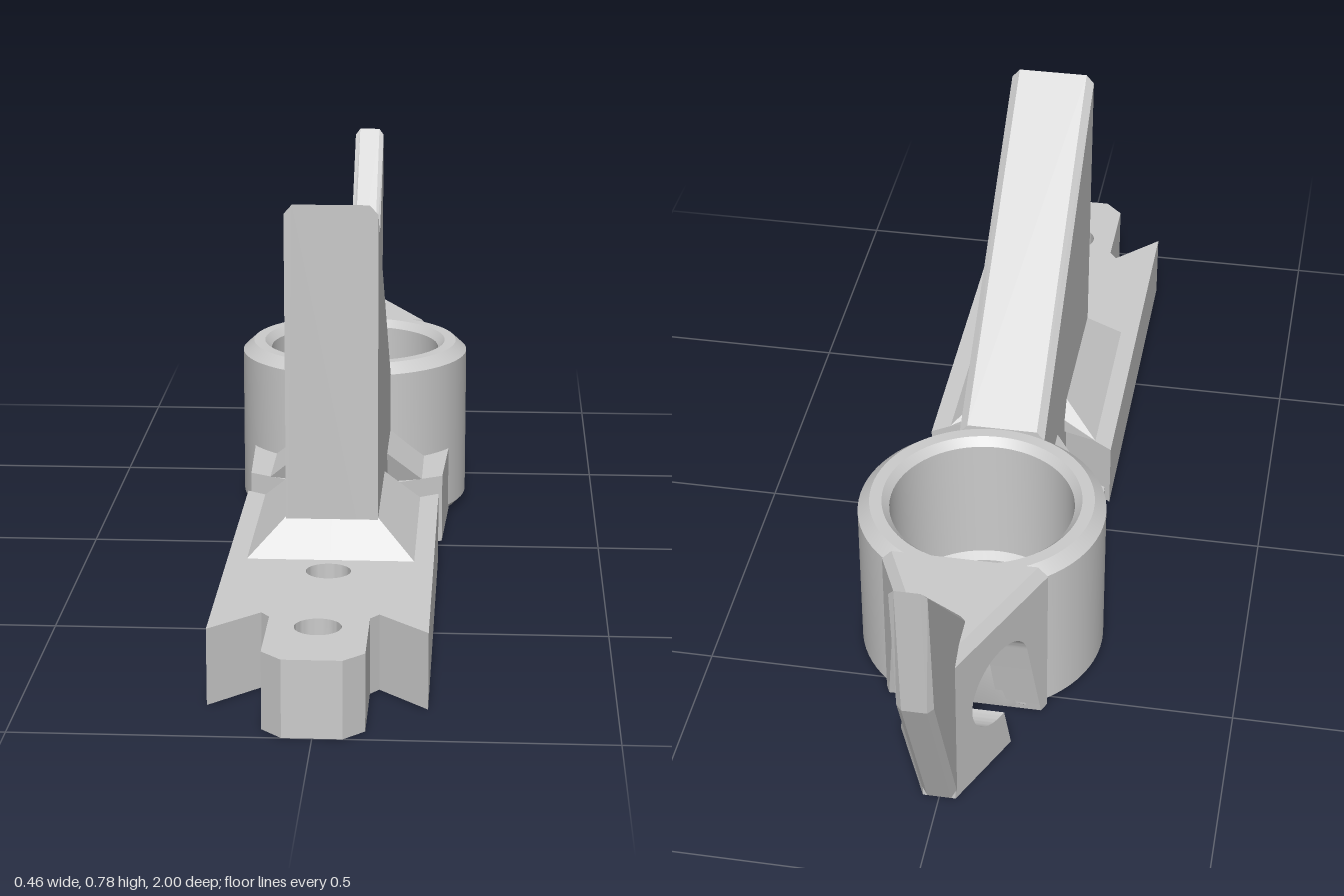
import * as THREE from 'three';
import { toCreasedNormals } from 'three/addons/utils/BufferGeometryUtils.js';
import { ConvexGeometry } from 'three/addons/geometries/ConvexGeometry.js';

const RING_Z = -0.345;

export function createModel() {
  const model = new THREE.Group();
  const grey = new THREE.MeshStandardMaterial({ color: 0xcccccc });
  const greyThin = new THREE.MeshStandardMaterial({ color: 0xcccccc, side: THREE.DoubleSide });

  function add(name, geometry, material = grey) {
    const mesh = new THREE.Mesh(geometry, material);
    mesh.name = name;
    model.add(mesh);
    return mesh;
  }
  const creased = (g) => toCreasedNormals(g, 0.5);
  const hull = (pts) => new ConvexGeometry(pts.map((p) => new THREE.Vector3(...p)));

  // plan outline given as [x, z], raised from y0 to y1
  function slab(outline, y0, y1, holes = []) {
    const shape = new THREE.Shape(outline.map(([x, z]) => new THREE.Vector2(x, -z)));
    for (const [z, r] of holes) {
      shape.holes.push(new THREE.Path().absarc(0, -z, r, 0, Math.PI * 2, true));
    }
    const g = new THREE.ExtrudeGeometry(shape, { depth: y1 - y0, bevelEnabled: false, curveSegments: 24 });
    g.rotateX(-Math.PI / 2).translate(0, y0, 0);
    return creased(g);
  }

  // Base plate with notched tongue at the front and arrow notch at the back
  const half = [
    [0.05, 1], [0.085, 0.965], [0.085, 0.8], [0.1, 0.78],
    [0.185, 0.865], [0.185, 0.09], [0.08, 0.16],
  ];
  const plan = [...half, ...half.map(([x, z]) => [-x, z]).reverse()];
  const screwZ = [0.56, 0.845];
  const SINK = 0.04;
  add('basePlateLower', slab(plan, 0, SINK, screwZ.map((z) => [z, 0.07])));
  add('basePlateUpper', slab(plan, SINK, 0.135, screwZ.map((z) => [z, 0.04])));
  for (const z of screwZ) {
    const cone = new THREE.LatheGeometry([new THREE.Vector2(0.07, 0), new THREE.Vector2(0.04, SINK)], 32);
    add('countersink', cone, greyThin).position.z = z;
  }

  // Tall blade with chamfered sloping top
  const blade = [];
  for (const s of [-1, 1]) {
    blade.push(
      [s * 0.083, 0, 0.445], [s * 0.083, 0.76, 0.474], [s * 0.068, 0.777, 0.475],
      [s * 0.083, 0.315, -0.13], [s * 0.068, 0.333, -0.13], [s * 0.083, 0, -0.13],
    );
  }
  add('frontBlade', hull(blade));

  // Sloped feet beside the blade, and wing blocks ahead of the ring
  for (const s of [-1, 1]) {
    add('bladeFoot', hull([
      [0, 0.135, 0.5], [s * 0.15, 0.135, 0.5], [s * 0.15, 0.135, 0.115], [0, 0.135, 0.16],
      [0, 0.2, 0.45], [s * 0.083, 0.2, 0.45], [s * 0.083, 0.2, 0.16], [0, 0.2, 0.16],
    ]));
    const wing = [[0.06, 0.045], [0.19, -0.03], [0.2, -0.25], [0.06, -0.16]].map(([x, z]) => [s * x, z]);
    add('wingBlock', slab(wing, 0, 0.135));
    add('wingFoot', hull([
      [0, 0.135, 0.04], [s * 0.15, 0.135, -0.005], [s * 0.15, 0.135, -0.19], [0, 0.135, -0.16],
      [0, 0.2, 0.04], [s * 0.083, 0.2, 0.04], [s * 0.083, 0.2, -0.165], [0, 0.2, -0.16],
    ]));
  }

  // Ring: chamfered outside, stepped bore, back wall trimmed along the slot
  const ringProfile = [
    [0.185, 0], [0.218, 0], [0.232, 0.014], [0.232, 0.137], [0.232, 0.315], [0.21, 0.335],
    [0.187, 0.335], [0.173, 0.32], [0.173, 0.06], [0.155, 0.05], [0.155, 0.03], [0.185, 0],
  ].map(([r, y]) => new THREE.Vector2(r, y));
  const ring = new THREE.LatheGeometry(ringProfile, 72).translate(0, 0, RING_Z);
  const rp = ring.attributes.position;
  for (let i = 0; i < rp.count; i++) {
    rp.setZ(i, Math.max(rp.getZ(i), -0.54 - 0.27 * rp.getY(i)));
  }
  add('ring', creased(ring));

  // Tapered tail with a hooked slot, narrowing towards the back
  const Z0 = 0.522, Z1 = 0.79;
  const tailWidth = (d) => THREE.MathUtils.mapLinear(d, Z0, Z1, 0.153, 0.03);
  const side = new THREE.Shape();
  side.moveTo(Z0, 0);
  side.lineTo(0.54, 0);
  side.absarc(0.66, 0.17, 0.08, 2.9, -1.7, true);
  side.lineTo(0.63, 0);
  side.lineTo(Z1, 0);
  side.lineTo(Z1, 0.315);
  side.lineTo(Z0, 0.315);
  const tail = new THREE.ExtrudeGeometry(side, { depth: 2, bevelEnabled: false, curveSegments: 32 });
  tail.translate(0, 0, -1).rotateY(Math.PI / 2);
  const tp = tail.attributes.position;
  for (let i = 0; i < tp.count; i++) tp.setX(i, tp.getX(i) * tailWidth(-tp.getZ(i)));
  add('tail', creased(tail));

  // Chamfered cap of the tail
  const cap = [];
  for (const s of [-1, 1]) {
    for (const d of [Z0, Z1]) {
      cap.push([s * tailWidth(d), 0.315, -d], [s * (tailWidth(d) - 0.018), 0.335, -d]);
    }
  }
  add('tailCap', hull(cap));

  // Central wall that closes the rear half of the hook
  add('hookWall', new THREE.BoxGeometry(0.04, 0.19, 0.09)).position.set(0, 0.175, -0.715);

  // Raised rear fin with chamfered edges
  const finShape = new THREE.Shape([
    [0.66, 0.32], [0.76, 0.27], [0.76, 0], [0.79, 0], [0.975, 0.385], [1, 0.67],
  ].map(([d, y]) => new THREE.Vector2(d, y)));
  const B = 0.01;
  const fin = new THREE.ExtrudeGeometry(finShape, {
    depth: 0.064 - 2 * B, bevelEnabled: true, bevelSize: B, bevelThickness: B, bevelOffset: -B, bevelSegments: 1,
  });
  fin.translate(0, 0, -0.032 + B).rotateY(Math.PI / 2);
  add('rearFin', fin);

  return model;
}
